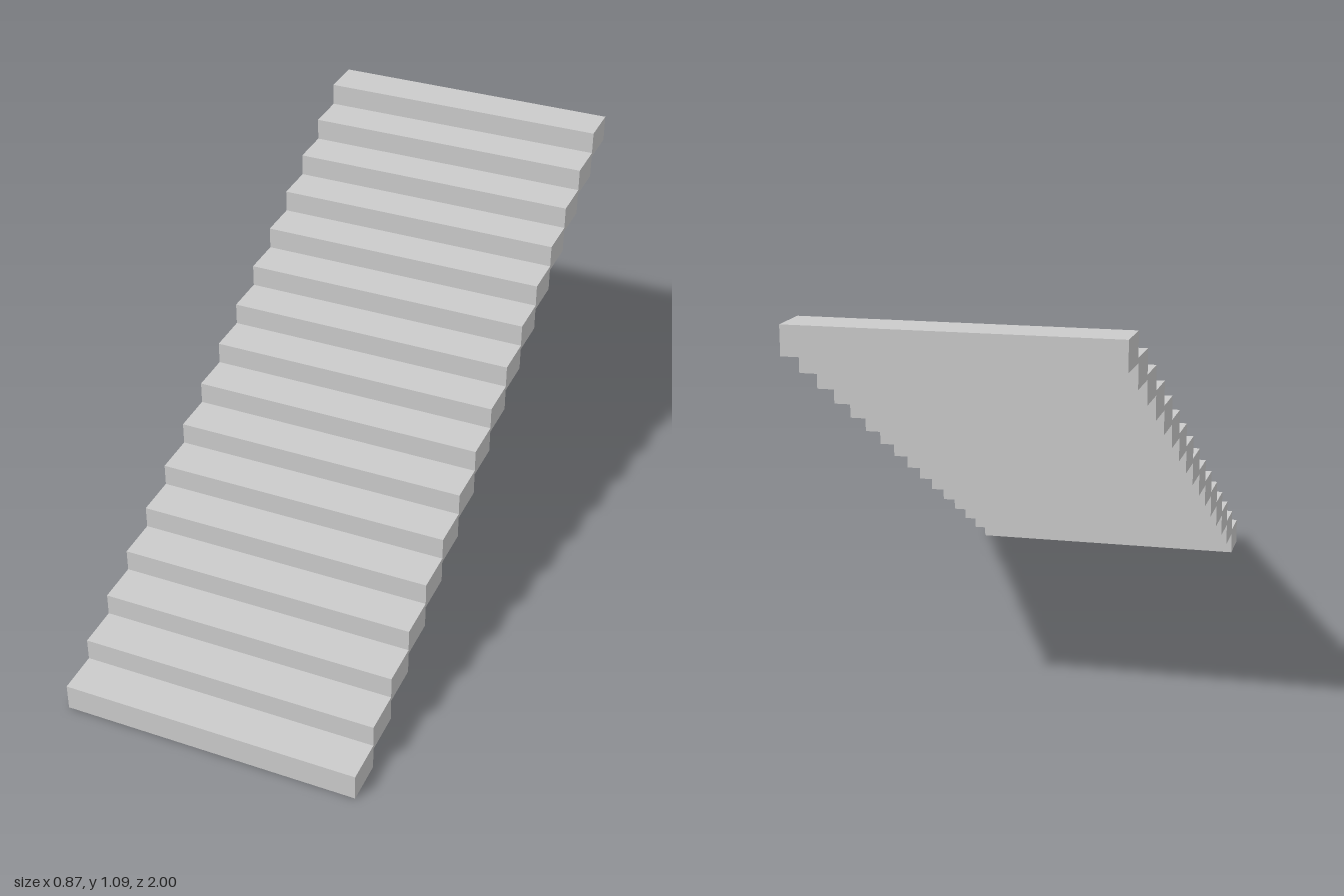
import * as THREE from 'three';

const STEPS = 16;
const WIDTH = 0.873;
const DEPTH = 2 / STEPS;
const HEIGHT = 0.08; // slightly more than the rise, so neighbours overlap
const RISE = 0.067;

export function createModel() {
  const stairs = new THREE.Group();
  stairs.name = 'staircase';
  const material = new THREE.MeshStandardMaterial({ color: 0xcccccc });
  const geometry = new THREE.BoxGeometry(WIDTH, HEIGHT, DEPTH);

  // Solid block steps climbing from the front to the back
  for (let i = 0; i < STEPS; i++) {
    const step = new THREE.Mesh(geometry, material);
    step.name = `step${i + 1}`;
    step.position.set(0, HEIGHT / 2 + i * RISE, 1 - (i + 0.5) * DEPTH);
    stairs.add(step);
  }
  return stairs;
}
